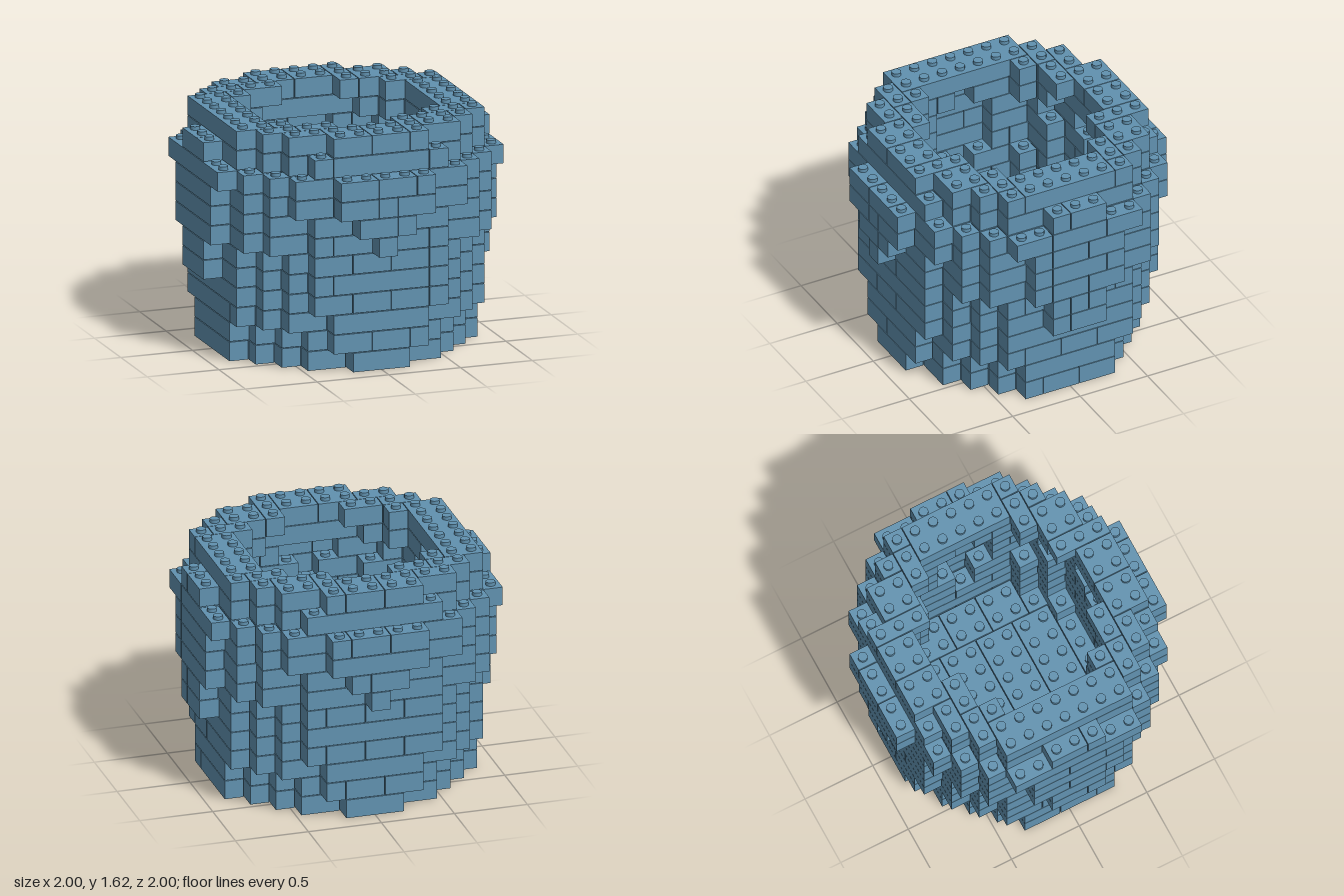
import * as THREE from 'three';
import { mergeGeometries } from 'three/addons/utils/BufferGeometryUtils.js';

const U = 2 / 15;      // stud pitch and brick height
const GAP = 0.005;     // seam between neighbouring bricks
const STUD_R = 0.032;
const STUD_H = 0.022;
const FLOOR = 3;       // solid layers at the bottom

// Outline of each layer, bottom to top: half width in studs at |z| = 0..7 (-1 = empty)
const OUTLINE = [
  [6, 6, 6, 5, 4, 3, 1, -1],
  [6, 6, 6, 5, 4, 3, 2, -1],
  [6, 6, 6, 6, 5, 4, 2, -1],
  [6, 6, 6, 6, 5, 4, 3, -1],
  [7, 7, 6, 6, 5, 4, 3, -1],
  [7, 7, 6, 6, 5, 4, 3, -1],
  [7, 7, 7, 6, 6, 5, 3, 0],
  [7, 7, 7, 6, 6, 5, 3, 1],
  [7, 7, 7, 6, 6, 5, 4, 2],
  [7, 7, 7, 7, 6, 5, 4, 2],
  [7, 7, 6, 6, 5, 4, 3, -1],
  [6, 6, 6, 6, 5, 4, 2, -1],
];
const LAYERS = OUTLINE.length;

const inOutline = (l, x, z) => Math.abs(z) <= 7 && Math.abs(x) <= OUTLINE[l][Math.abs(z)];

// The cavity keeps a wall about two studs thick, measured on this layer and the one below
function inCavity(l, x, z) {
  if (l < FLOOR) return false;
  for (let dx = -2; dx <= 2; dx++) {
    for (let dz = -2; dz <= 2; dz++) {
      if (dx * dx + dz * dz > 5) continue;
      if (!inOutline(l, x + dx, z + dz) || !inOutline(l - 1, x + dx, z + dz)) return false;
    }
  }
  return true;
}

const solid = (l, x, z) => l < LAYERS && inOutline(l, x, z) && !inCavity(l, x, z);

// Fill one layer with bricks up to two studs wide, turning their direction on every other layer
function layBricks(l) {
  const used = new Set();
  const alongX = l % 2 === 0;
  const cell = (a, b) => (alongX ? [a, b] : [b, a]);
  const free = (a, b) => {
    const [x, z] = cell(a, b);
    return solid(l, x, z) && !used.has(x + ',' + z);
  };
  const bricks = [];
  for (let b = -7; b <= 7; b++) {
    for (let a = -7; a <= 7; a++) {
      if (!free(a, b)) continue;
      let len = 1;
      while (len < 8 && free(a + len, b)) len++;
      let wide = 2;
      for (let i = 0; i < len; i++) if (!free(a + i, b + 1)) wide = 1;
      for (let i = 0; i < len; i++) {
        for (let j = 0; j < wide; j++) used.add(cell(a + i, b + j).join(','));
      }
      const [sx, sz] = cell(len, wide);
      const [cx, cz] = cell(a + (len - 1) / 2, b + (wide - 1) / 2);
      const g = new THREE.BoxGeometry(sx * U - GAP, U - GAP, sz * U - GAP);
      g.translate(cx * U, (l + 0.5) * U, cz * U);
      bricks.push(g);
    }
  }
  return mergeGeometries(bricks);
}

// Studs only where nothing sits on top
function layStuds(l) {
  const studs = [];
  for (let x = -7; x <= 7; x++) {
    for (let z = -7; z <= 7; z++) {
      if (!solid(l, x, z) || solid(l + 1, x, z)) continue;
      const g = new THREE.CylinderGeometry(STUD_R, STUD_R, STUD_H + GAP, 16);
      g.translate(x * U, (l + 1) * U + (STUD_H - GAP) / 2, z * U);
      studs.push(g);
    }
  }
  return studs.length ? mergeGeometries(studs) : null;
}

export function createModel() {
  const model = new THREE.Group();
  model.name = 'brickPot';
  const blue = new THREE.MeshStandardMaterial({ color: 0x6192b0 });
  blue.name = 'sand blue';

  for (let l = 0; l < LAYERS; l++) {
    const part = l < FLOOR ? 'base' : l === LAYERS - 1 ? 'rim' : 'wall';
    const layer = new THREE.Group();
    layer.name = part + 'Layer' + (l + 1);
    const bricks = new THREE.Mesh(layBricks(l), blue);
    bricks.name = part + 'Bricks';
    layer.add(bricks);
    const studGeometry = layStuds(l);
    if (studGeometry) {
      const studs = new THREE.Mesh(studGeometry, blue);
      studs.name = part + 'Studs';
      layer.add(studs);
    }
    model.add(layer);
  }
  return model;
}
